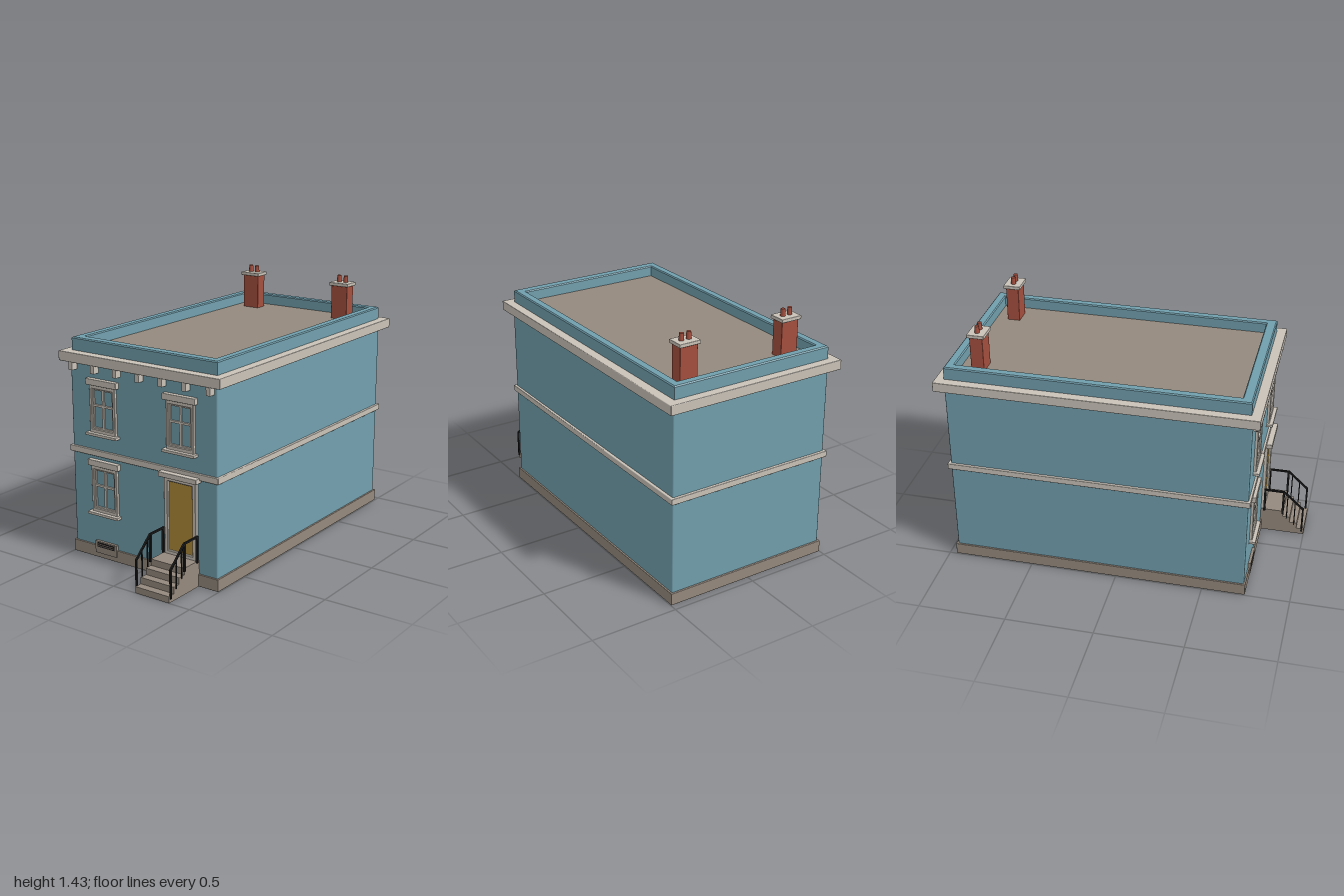
import * as THREE from 'three';
import { RoundedBoxGeometry } from 'three/addons/geometries/RoundedBoxGeometry.js';

const material = (name, color) => {
  const m = new THREE.MeshStandardMaterial({ color });
  m.name = name;
  return m;
};

export function createModel() {
  const wall = material('blue wall paint', 0x719fad);
  const trim = material('pale trim', 0xc9c2b8);
  const stone = material('brown stone', 0x95897d);
  const brick = material('red brick', 0xa44f3e);
  const gold = material('ochre door paint', 0xb28b39);
  const iron = material('black iron', 0x1c1c1c);

  const house = new THREE.Group();
  house.name = 'townHouse';

  const add = (parent, name, geometry, mat) => {
    const mesh = new THREE.Mesh(geometry, mat);
    mesh.name = name;
    parent.add(mesh);
    return mesh;
  };
  // Boxes given by their limits on each axis; r softens the edges
  const box = (parent, name, mat, [x0, x1], [y0, y1], [z0, z1], r = 0) => {
    const size = [x1 - x0, y1 - y0, z1 - z0];
    const geometry = r ? new RoundedBoxGeometry(...size, 2, r) : new THREE.BoxGeometry(...size);
    const mesh = add(parent, name, geometry, mat);
    mesh.position.set((x0 + x1) / 2, (y0 + y1) / 2, (z0 + z1) / 2);
    return mesh;
  };
  const group = (name, x = 0, y = 0, z = 0) => {
    const g = new THREE.Group();
    g.name = name;
    g.position.set(x, y, z);
    house.add(g);
    return g;
  };
  const rect = (Type, x0, x1, y0, y1) => new Type([
    new THREE.Vector2(x0, y0), new THREE.Vector2(x1, y0),
    new THREE.Vector2(x1, y1), new THREE.Vector2(x0, y1)]);
  // Rectangular frame with an opening, extruded along z
  const frame = (outer, inner, depth, bevel) => {
    const shape = rect(THREE.Shape, ...outer);
    shape.holes.push(rect(THREE.Path, ...inner));
    const geometry = new THREE.ExtrudeGeometry(shape, {
      depth: depth - 2 * bevel, bevelEnabled: bevel > 0, bevelSegments: 1,
      bevelSize: bevel, bevelThickness: bevel, bevelOffset: -bevel });
    return geometry.translate(0, 0, bevel);
  };

  // Main block and its horizontal mouldings
  box(house, 'walls', wall, [-0.488, 0.488], [0, 1.14], [-0.949, 0.737], 0.007);
  box(house, 'plinth', stone, [-0.498, 0.498], [0.001, 0.07], [-0.96, 0.746], 0.003);
  box(house, 'stringCourse', trim, [-0.503, 0.503], [0.595, 0.63], [-0.965, 0.75], 0.004);
  box(house, 'cornice', trim, [-0.535, 0.535], [1.11, 1.165], [-0.998, 0.782], 0.004);

  // Parapet around the flat roof
  const parapet = add(house, 'parapet',
    frame([-0.483, 0.483, -0.728, 0.948], [-0.433, 0.433, -0.67, 0.898], 0.085, 0.006), wall);
  parapet.rotation.x = -Math.PI / 2;
  parapet.position.y = 1.152;
  box(house, 'roof', stone, [-0.436, 0.436], [1.15, 1.175], [-0.901, 0.673]);

  // Cornice brackets
  for (let i = -3; i <= 3; i++) {
    const x = i * 0.1525;
    box(house, 'bracket', trim, [x - 0.013, x + 0.013], [1.065, 1.115], [0.73, 0.775]);
  }

  // Windows, measured from the middle of each opening
  for (const [x, y] of [[-0.26, 0.864], [0.26, 0.864], [-0.26, 0.407]]) {
    const w = group('window', x, y, 0.73);
    add(w, 'windowFrame',
      frame([-0.089, 0.089, -0.135, 0.135], [-0.071, 0.071, -0.112, 0.112], 0.023, 0.003), trim);
    add(w, 'sash',
      frame([-0.073, 0.073, -0.114, 0.114], [-0.063, 0.063, -0.104, 0.104], 0.015, 0), trim);
    box(w, 'mullion', trim, [-0.007, 0.007], [-0.106, 0.106], [0, 0.015]);
    box(w, 'transom', trim, [-0.065, 0.065], [0.013, 0.025], [0, 0.017]);
    box(w, 'lintel', trim, [-0.106, 0.106], [0.133, 0.168], [0, 0.033], 0.003);
    box(w, 'sill', trim, [-0.106, 0.106], [-0.148, -0.132], [0, 0.044], 0.003);
  }

  // Front door
  const door = group('door', 0.26, 0, 0.73);
  add(door, 'doorFrame',
    frame([-0.104, 0.104, 0.143, 0.585], [-0.08, 0.08, 0.166, 0.556], 0.027, 0.003), trim);
  box(door, 'doorLeaf', gold, [-0.081, 0.081], [0.165, 0.557], [0, 0.014]);
  box(door, 'doorLintel', trim, [-0.124, 0.124], [0.58, 0.608], [0, 0.052], 0.003);

  // Front steps, extruded from their side outline
  const outline = new THREE.Shape();
  outline.moveTo(0.735, 0);
  outline.lineTo(1, 0);
  for (let i = 0; i < 4; i++) {
    outline.lineTo(1 - i * 0.044, (i + 1) * 0.0367);
    outline.lineTo(i < 3 ? 0.956 - i * 0.044 : 0.735, (i + 1) * 0.0367);
  }
  const steps = add(house, 'steps',
    new THREE.ExtrudeGeometry(outline, { depth: 0.22, bevelEnabled: false }), stone);
  steps.rotation.y = -Math.PI / 2;
  steps.position.x = 0.37;

  // Iron railings on both sides of the steps
  for (const side of [-1, 1]) {
    const railing = group('railing', 0.26 + side * 0.112);
    const bar = (name, [y0, z0], [y1, z1], r) => {
      const length = Math.hypot(y1 - y0, z1 - z0);
      const mesh = add(railing, name, new THREE.BoxGeometry(2 * r, length, 2 * r), iron);
      mesh.position.set(0, (y0 + y1) / 2, (z0 + z1) / 2);
      mesh.rotation.x = Math.atan2(z1 - z0, y1 - y0);
    };
    bar('handrail', [0.286, 0.752], [0.286, 0.872], 0.005);
    bar('slopedHandrail', [0.288, 0.868], [0.178, 0.989], 0.005);
    bar('post', [0.14, 0.758], [0.288, 0.758], 0.006);
    bar('post', [0.13, 0.868], [0.288, 0.868], 0.006);
    bar('post', [0.02, 0.987], [0.18, 0.987], 0.005);
    bar('baluster', [0.1, 0.893], [0.264, 0.893], 0.003);
    bar('baluster', [0.06, 0.939], [0.222, 0.939], 0.003);
  }

  // Cellar vent with slats
  const vent = group('cellarVent', -0.26, 0, 0.73);
  box(vent, 'ventSurround', stone, [-0.076, 0.076], [0.03, 0.1], [0, 0.022]);
  box(vent, 'ventOpening', iron, [-0.062, 0.062], [0.066, 0.093], [0.02, 0.0235]);
  for (const y of [0.074, 0.084]) {
    box(vent, 'ventSlat', stone, [-0.054, 0.054], [y - 0.0015, y + 0.0015], [0.022, 0.026]);
  }

  // Chimneys with cap slabs and two pots each
  for (const x of [-0.317, 0.317]) {
    const chimney = group('chimney', x, 0, -0.793);
    box(chimney, 'chimneyStack', brick, [-0.053, 0.053], [1.16, 1.376], [-0.037, 0.037], 0.003);
    box(chimney, 'chimneyCap', trim, [-0.063, 0.063], [1.374, 1.394], [-0.049, 0.049], 0.003);
    for (const side of [-1, 1]) {
      const pot = add(chimney, 'chimneyPot', new THREE.CylinderGeometry(0.012, 0.014, 0.045, 12), brick);
      pot.position.set(side * 0.022, 1.411, 0);
    }
  }
  return house;
}
